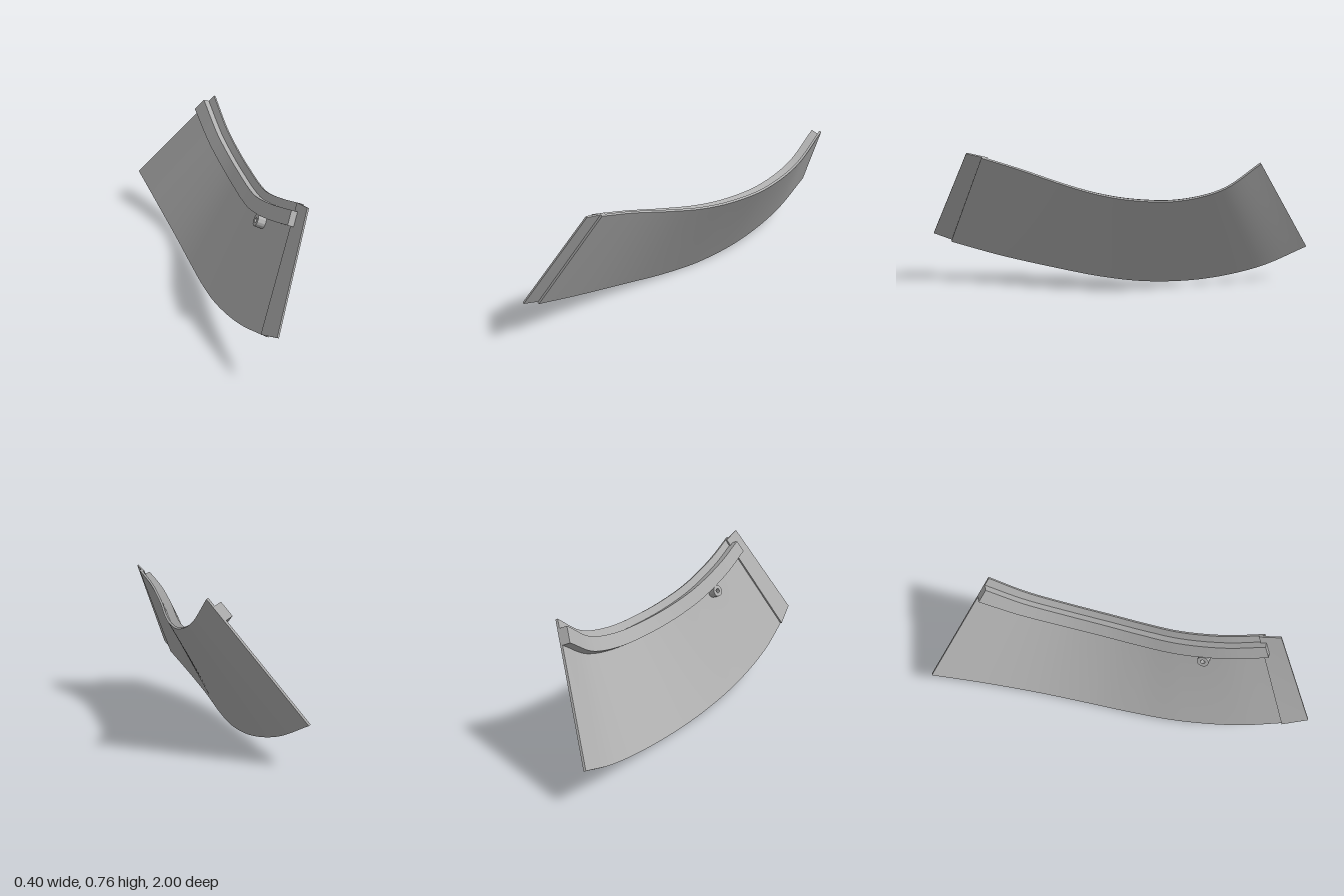
import * as THREE from 'three';
import { mergeGeometries, toCreasedNormals } from 'three/addons/utils/BufferGeometryUtils.js';

const V = (x, y, z) => new THREE.Vector3(x, y, z);
const curve = (pts) => new THREE.CatmullRomCurve3(pts.map((p) => V(...p)));

// Outer bottom and top edges of the curved panel, front to back
const bottomEdge = curve([
  [-0.155, 0.215, 0.91], [-0.184, 0.13, 0.65], [-0.187, 0.06, 0.35], [-0.168, 0.018, 0.1],
  [-0.146, 0.001, -0.15], [-0.134, 0.022, -0.45], [-0.146, 0.09, -0.75], [-0.178, 0.195, -1],
]);
const topEdge = curve([
  [0.1, 0.735, 0.69], [0.09, 0.672, 0.5], [0.106, 0.6, 0.28], [0.138, 0.557, 0.1],
  [0.168, 0.537, -0.08], [0.192, 0.543, -0.3], [0.199, 0.605, -0.52], [0.193, 0.735, -0.7],
]);

// Ruled surface: u runs front to back, t bottom to top
const ruled = (u, t) => bottomEdge.getPoint(u).lerp(topEdge.getPoint(u), t);
function inward(u, t) {
  const along = ruled(Math.min(u + 0.01, 1), t).sub(ruled(Math.max(u - 0.01, 0), t));
  const up = topEdge.getPoint(u).sub(bottomEdge.getPoint(u));
  return up.cross(along).normalize();
}
const onPanel = (u, t, d) => ruled(u, t).addScaledVector(inward(u, t), d);

// One smooth face patch; a x b points outward
function patch(fn, na, nb) {
  const pos = [], index = [];
  for (let i = 0; i <= na; i++)
    for (let j = 0; j <= nb; j++) pos.push(...fn(i / na, j / nb).toArray());
  for (let i = 0; i < na; i++)
    for (let j = 0; j < nb; j++) {
      const p = i * (nb + 1) + j, q = p + nb + 1;
      index.push(p, q, q + 1, p, q + 1, p + 1);
    }
  const g = new THREE.BufferGeometry();
  g.setAttribute('position', new THREE.Float32BufferAttribute(pos, 3));
  g.setIndex(index);
  g.computeVertexNormals();
  return g;
}

// Closed six-sided bar in (u, t, d) space, each coordinate from 0 to 1
function bar(fn, nu, nt) {
  return mergeGeometries([
    patch((t, u) => fn(u, t, 1), nt, nu),
    patch((u, t) => fn(u, t, 0), nu, nt),
    patch((d, t) => fn(1, t, d), 1, nt),
    patch((t, d) => fn(0, t, d), nt, 1),
    patch((u, d) => fn(u, 1, d), nu, 1),
    patch((d, u) => fn(u, 0, d), 1, nu),
  ]);
}
const mix = THREE.MathUtils.lerp;
const panelBar = (t0, t1, d0, d1, nt) =>
  bar((u, t, d) => onPanel(u, mix(t0, t1, t), mix(d0, d1, d)), 64, nt);

export function createModel() {
  const group = new THREE.Group();
  const grey = new THREE.MeshStandardMaterial({ color: 0xb0b0b0 });
  grey.name = 'grey';
  const add = (name, geometry) => {
    const mesh = new THREE.Mesh(geometry, grey);
    mesh.name = name;
    group.add(mesh);
    return mesh;
  };

  // Curved panel and the rail along its inner side
  add('panel', panelBar(0, 1, 0, 0.012, 8));
  add('rail', panelBar(0.82, 0.935, 0.008, 0.052, 1));

  // Flat joining tongue reaching past the front edge
  const tipLow = V(-0.145, 0.265, 1), tipHigh = V(0.09, 0.755, 0.768);
  add('tongue', bar((u, t, d) => {
    const root = onPanel(0.02, t, 0.012);
    const tip = tipLow.clone().lerp(tipHigh, t);
    return tip.lerp(root, u).addScaledVector(inward(0, t), 0.009 * d);
  }, 1, 4));

  // Hollow boss just below the rail
  const ring = new THREE.Shape().absarc(0, 0, 0.03, 0, Math.PI * 2, false);
  ring.holes.push(new THREE.Path().absarc(0, 0, 0.012, 0, Math.PI * 2, true));
  const bossGeometry = new THREE.ExtrudeGeometry(ring, { depth: 0.046, bevelEnabled: false, curveSegments: 24 });
  const boss = add('boss', toCreasedNormals(bossGeometry, 0.6));
  boss.position.copy(onPanel(0.21, 0.775, 0.008));
  boss.quaternion.setFromUnitVectors(V(0, 0, 1), inward(0.21, 0.775));

  return group;
}
